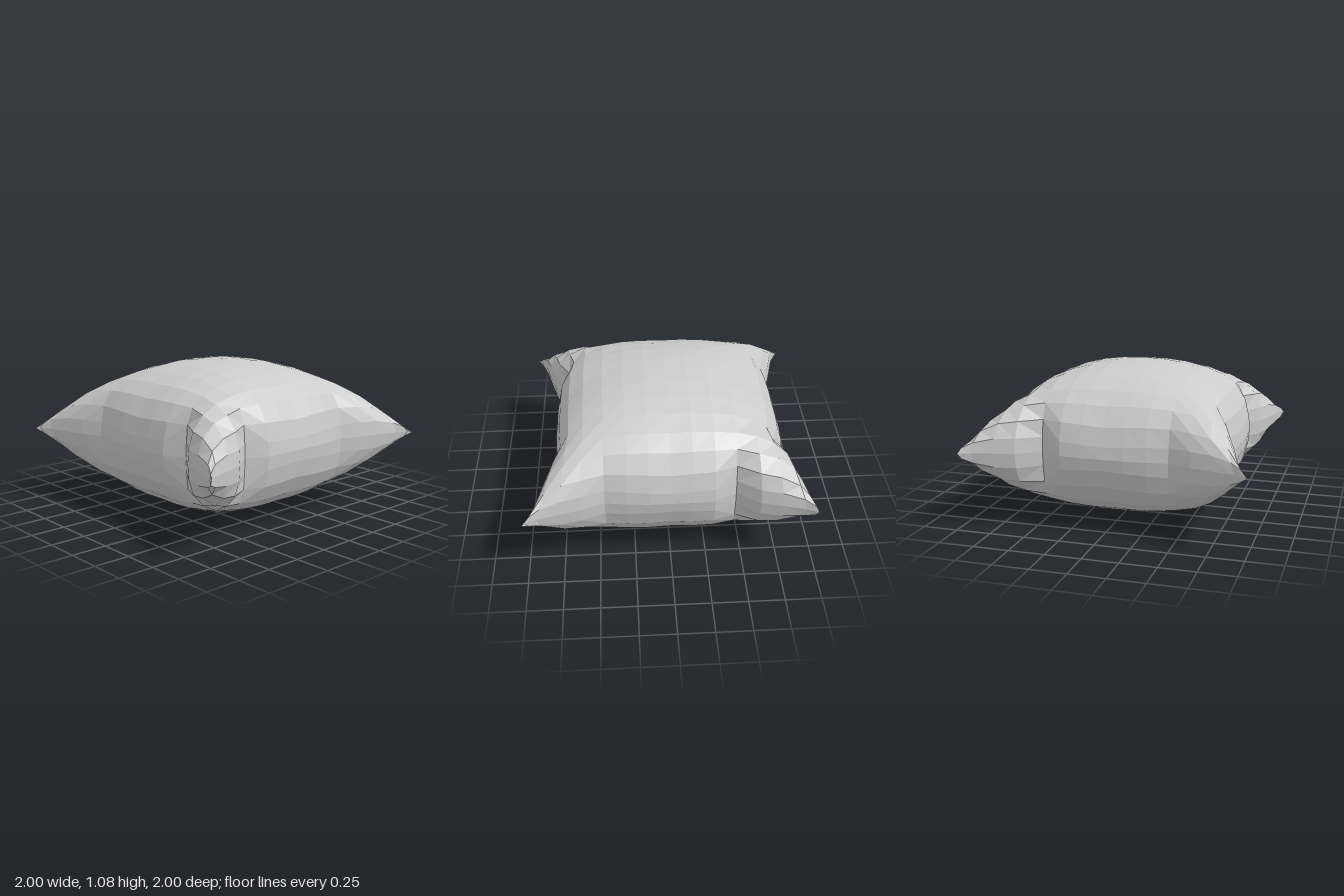
import * as THREE from 'three';

// Half-profile of the cushion from its middle (index 0) to the seam (index 8)
const X = [0, 0.15, 0.3, 0.45, 0.59, 0.7, 0.78, 0.815, 0.825]; // distance from middle
const H = [0.54, 0.535, 0.515, 0.475, 0.415, 0.33, 0.205, 0.08, 0]; // half thickness
// Outward push along the seam: pinched creases, then flared corners
const FLARE = [0, 0, -0.01, 0, 0.03, 0.07, 0.11, 0.15, 0.175];
const WEIGHT = [0, 0, 0, 0, 0.1, 0.3, 0.7, 0.95, 1]; // how much each ring follows the seam
const N = 8;

function cushionPoint(i, j, side) {
  const a = Math.abs(i), b = Math.abs(j);
  const crease = i * j < 0 ? -0.085 : -0.03; // two opposite corners are pinched deeper
  const push = (k) => (k === 3 ? crease : FLARE[k]);
  const fade = (k) => 1 - (k / N) ** 2;
  const x = Math.sign(i) * (X[a] + push(b) * WEIGHT[a]) + 0.012 * WEIGHT[a] * fade(b);
  const z = Math.sign(j) * (X[b] + push(a) * WEIGHT[b]) - 0.02 * WEIGHT[b] * fade(a);
  // Corners stay plumper than a plain product of the two profiles
  const power = 1 - 0.3 * Math.min(1, Math.min(a, b) / 5);
  const h = H[0] * Math.pow((H[a] * H[b]) / (H[0] * H[0]), power);
  return [x, H[0] + side * h, z];
}

function cushionHalf(side) {
  const positions = [], index = [], row = 2 * N + 1;
  for (let j = -N; j <= N; j++) {
    for (let i = -N; i <= N; i++) positions.push(...cushionPoint(i, j, side));
  }
  for (let j = 0; j < 2 * N; j++) {
    for (let i = 0; i < 2 * N; i++) {
      const p = j * row + i, q = p + 1, r = p + row, s = r + 1;
      if (side > 0) index.push(p, r, s, p, s, q);
      else index.push(p, s, r, p, q, s);
    }
  }
  const geometry = new THREE.BufferGeometry();
  geometry.setAttribute('position', new THREE.Float32BufferAttribute(positions, 3));
  geometry.setIndex(index);
  geometry.computeVertexNormals();
  return geometry;
}

export function createModel() {
  const group = new THREE.Group();
  group.name = 'cushion';
  const fabric = new THREE.MeshStandardMaterial({ color: 0xcccccc, flatShading: true });
  // Upper and lower halves meet at the seam
  for (const [name, side] of [['cushionTop', 1], ['cushionBottom', -1]]) {
    const half = new THREE.Mesh(cushionHalf(side), fabric);
    half.name = name;
    group.add(half);
  }
  return group;
}
